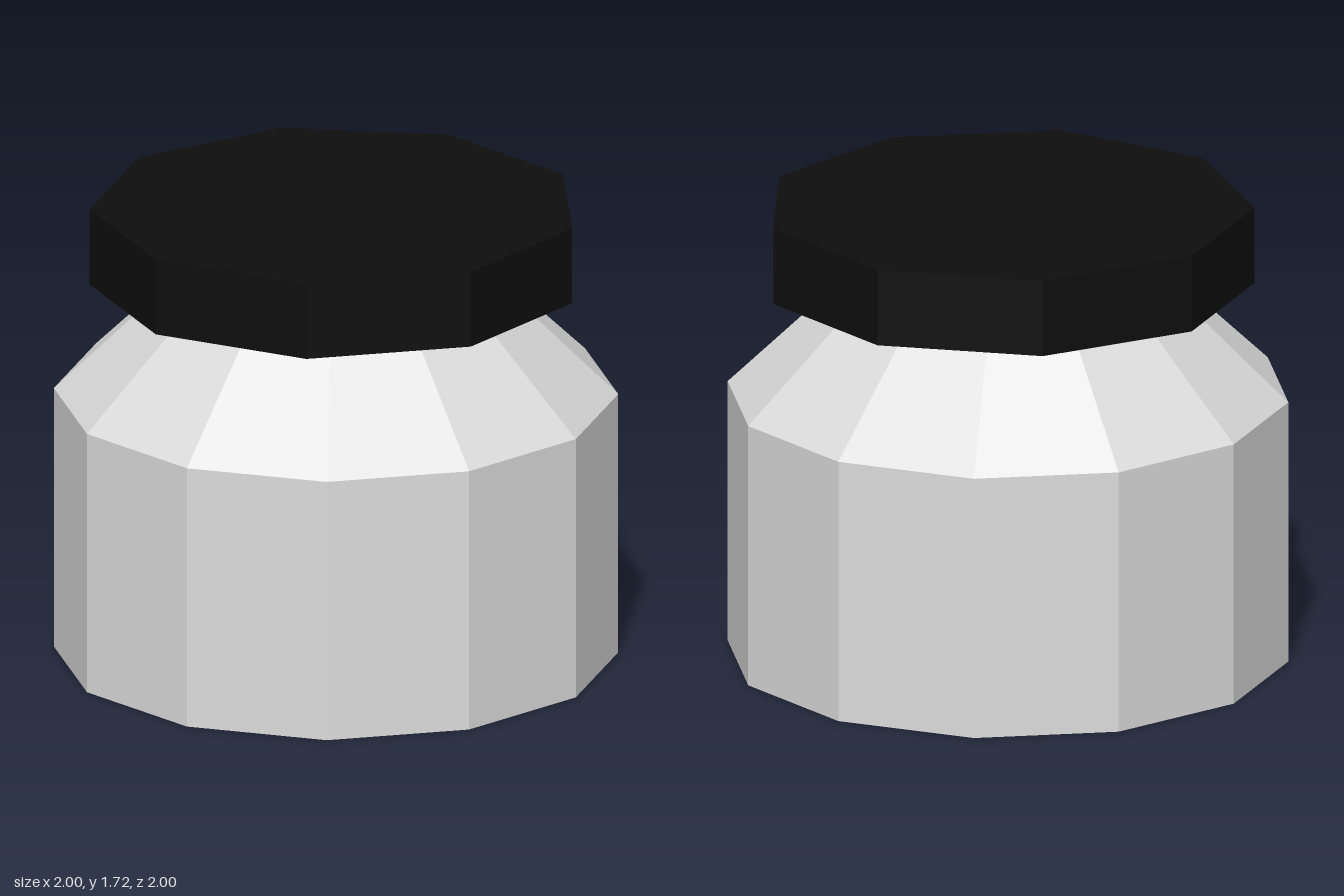
import * as THREE from 'three';

export function createModel() {
  const jar = new THREE.Group();
  jar.name = 'jar';

  const greyGlass = new THREE.MeshStandardMaterial({ color: 0xdcdcdc, flatShading: true });
  greyGlass.name = 'light grey';
  const blackLid = new THREE.MeshStandardMaterial({ color: 0x0e0e0e, flatShading: true });
  blackLid.name = 'black';

  // Faceted ring solid between two heights, turned by a start angle
  const addPrism = (name, material, rTop, rBottom, y0, y1, sides, start, open = false) => {
    const geometry = new THREE.CylinderGeometry(rTop, rBottom, y1 - y0, sides, 1, open, start);
    const mesh = new THREE.Mesh(geometry, material);
    mesh.name = name;
    mesh.position.y = (y0 + y1) / 2;
    jar.add(mesh);
    return mesh;
  };

  // Twelve-sided jar: flat sides face the axes
  const twelfth = Math.PI / 12;
  const radius = 1 / Math.cos(twelfth);
  const lidBase = 1.43;
  const lidTop = 1.72;

  // Straight wall, with the floor as a separate disc
  addPrism('body', greyGlass, radius, radius, 0, 1, 12, twelfth, true);
  const floor = new THREE.Mesh(new THREE.CircleGeometry(radius, 12, twelfth), greyGlass);
  floor.name = 'floor';
  floor.rotation.x = Math.PI / 2;
  jar.add(floor);

  // Shoulder tapering at 45 degrees up to the lid
  addPrism('shoulder', greyGlass, radius * 0.57, radius, 1, lidBase, 12, twelfth, true);

  // Nine-sided lid with a corner at the back
  addPrism('lid', blackLid, 0.905, 0.905, lidBase, lidTop, 9, Math.PI / 9);

  return jar;
}
